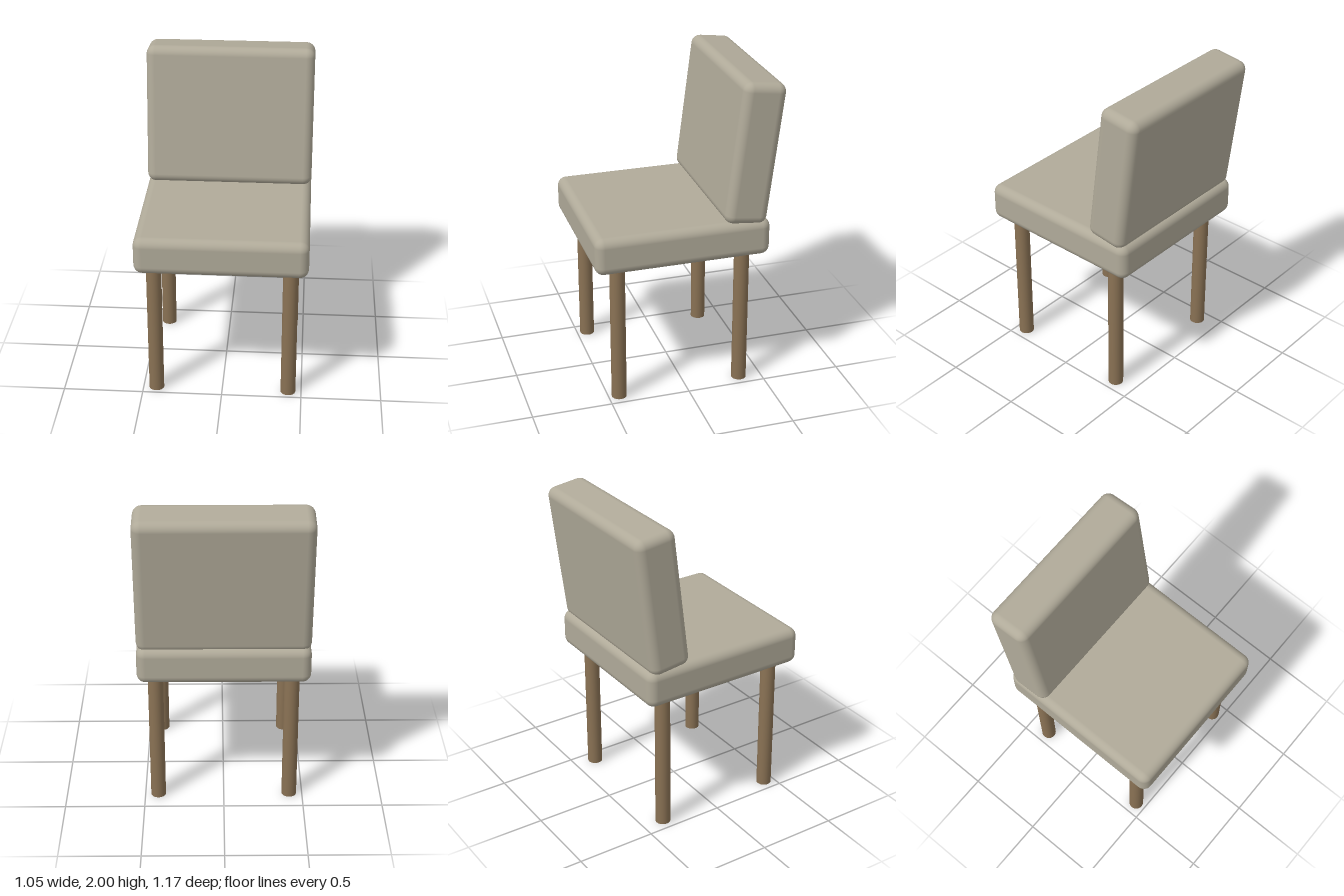
import * as THREE from 'three';
import { RoundedBoxGeometry } from 'three/addons/geometries/RoundedBoxGeometry.js';

export function createModel() {
  const model = new THREE.Group();
  model.name = 'chair';

  const fabric = new THREE.MeshStandardMaterial({ name: 'beige fabric', color: 0xb0aa99 });
  const wood = new THREE.MeshStandardMaterial({ name: 'brown wood', color: 0x8b7355 });

  const addPart = (name, geometry, material, x, y, z) => {
    const mesh = new THREE.Mesh(geometry, material);
    mesh.name = name;
    mesh.position.set(x, y, z);
    model.add(mesh);
    return mesh;
  };

  // Cushions: the seat, and a backrest leaning 7 degrees back
  const width = 1.05, radius = 0.055;
  addPart('seat', new RoundedBoxGeometry(width, 0.237, 1.093, 4, radius), fabric, 0, 1.012, 0.037);
  const backrest = addPart('backrest', new RoundedBoxGeometry(width, 0.887, 0.267, 4, radius), fabric, 0, 1.55, -0.402);
  backrest.rotation.x = -THREE.MathUtils.degToRad(7);

  // Round legs, closed at the foot and set into the seat, with a softly shaded foot edge
  const legProfile = [[0, 0], [0.047, 0], [0.047, 0.91]].map(([r, y]) => new THREE.Vector2(r, y));
  const legGeometry = new THREE.LatheGeometry(legProfile, 24);
  for (const [end, z] of [['front', 0.432], ['back', -0.358]]) {
    for (const [side, x] of [['Left', 0.417], ['Right', -0.417]]) {
      addPart(end + side + 'Leg', legGeometry, wood, x, 0, z);
    }
  }

  return model;
}
